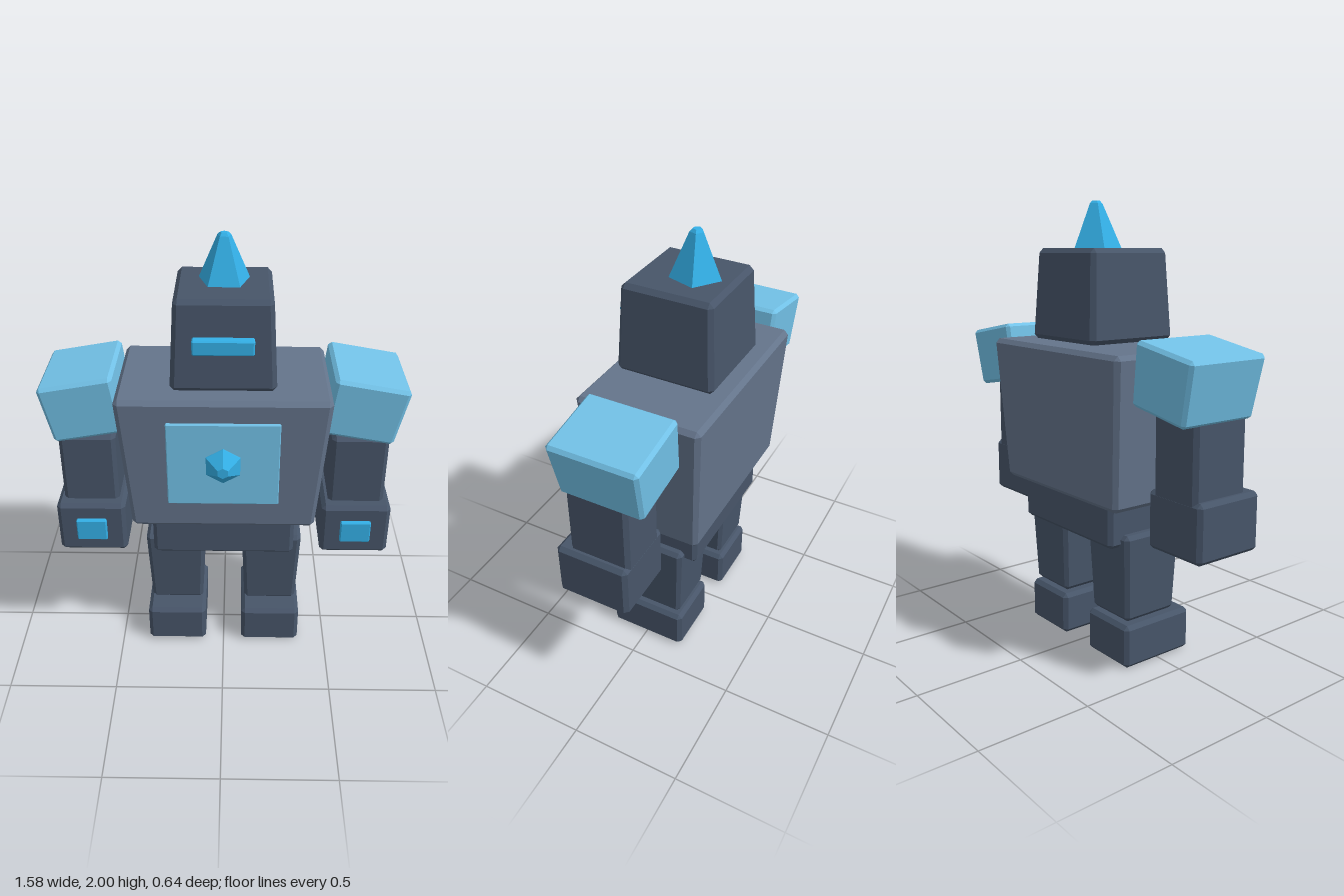
import * as THREE from 'three';
import { ConvexGeometry } from 'three/addons/geometries/ConvexGeometry.js';

const slate = new THREE.MeshStandardMaterial({ color: 0x475569 });
slate.name = 'dark slate';
const steel = new THREE.MeshStandardMaterial({ color: 0x64748b });
steel.name = 'steel grey';
const paleBlue = new THREE.MeshStandardMaterial({ color: 0x7dd3fc });
paleBlue.name = 'pale blue';
const brightBlue = new THREE.MeshStandardMaterial({ color: 0x38bdf8 });
brightBlue.name = 'bright blue';

// Chamfered box; w and d are the widest sizes, top and bottom scale its ends
function block(w, h, d, c = 0.018, top = 1, bottom = 1) {
  const points = [];
  const add = (x, y, z) => {
    const s = THREE.MathUtils.lerp(bottom, top, y / h + 0.5);
    points.push(new THREE.Vector3(x * s, y, z * s));
  };
  for (const i of [-1, 1]) for (const j of [-1, 1]) for (const k of [-1, 1]) {
    const x = i * w / 2, y = j * h / 2, z = k * d / 2;
    add(x, y - j * c, z - k * c);
    add(x - i * c, y, z - k * c);
    add(x - i * c, y - j * c, z);
  }
  return new ConvexGeometry(points);
}

// Faceted solid from [radius, height] rings around y, first corner at +z
function faceted(sides, rings) {
  const points = [];
  for (const [r, y] of rings) for (let i = 0; i < sides; i++) {
    const a = i / sides * Math.PI * 2;
    points.push(new THREE.Vector3(Math.sin(a) * r, y, Math.cos(a) * r));
  }
  return new ConvexGeometry(points);
}

export function createModel() {
  const robot = new THREE.Group();
  robot.name = 'robot';
  const part = (name, geometry, material, x, y, z) => {
    const mesh = new THREE.Mesh(geometry, material);
    mesh.name = name;
    mesh.position.set(x, y, z);
    robot.add(mesh);
    return mesh;
  };

  // Body
  part('torso', block(0.92, 0.655, 0.57, 0.02, 1, 0.89), steel, 0, 1.062, -0.035);
  part('waist', block(0.65, 0.25, 0.42), slate, 0, 0.672, -0.035);
  part('chestPlate', block(0.485, 0.4, 0.05, 0.004), paleBlue, 0, 1.09, 0.235);
  const gem = part('chestGem', faceted(6, [[0.085, -0.03], [0.085, 0.005], [0.026, 0.062]]),
    brightBlue, 0, 1.09, 0.26);
  gem.rotation.x = Math.PI / 2;

  // Head
  part('head', block(0.45, 0.395, 0.45, 0.02, 0.9, 1), slate, 0, 1.603, -0.035);
  part('visor', block(0.255, 0.065, 0.045, 0.006), brightBlue, 0, 1.617, 0.197);
  const horn = part('horn', faceted(5, [[0.113, 0], [0.03, 0.188], [0.018, 0.2]]),
    brightBlue, 0, 1.8, -0.07);
  horn.rotation.y = Math.PI;

  // Limbs, mirrored
  for (const [side, s] of [['left', 1], ['right', -1]]) {
    const shoulder = part(side + 'ShoulderPad', block(0.328, 0.27, 0.406, 0.015, 1, 0.94),
      paleBlue, s * 0.608, 1.291, -0.037);
    shoulder.rotation.z = -s * 0.175;
    part(side + 'Arm', block(0.25, 0.46, 0.285), slate, s * 0.6, 0.93, -0.002);
    part(side + 'Fist', block(0.31, 0.255, 0.34), slate, s * 0.6, 0.703, 0.025);
    part(side + 'FistPlate', block(0.137, 0.107, 0.04, 0.005), brightBlue, s * 0.6, 0.703, 0.194);
    part(side + 'Leg', block(0.28, 0.395, 0.31, 0.018, 1, 0.88), slate, s * 0.226, 0.405, -0.035);
    part(side + 'Foot', block(0.28, 0.195, 0.37), slate, s * 0.228, 0.0975, -0.005);
  }
  return robot;
}
